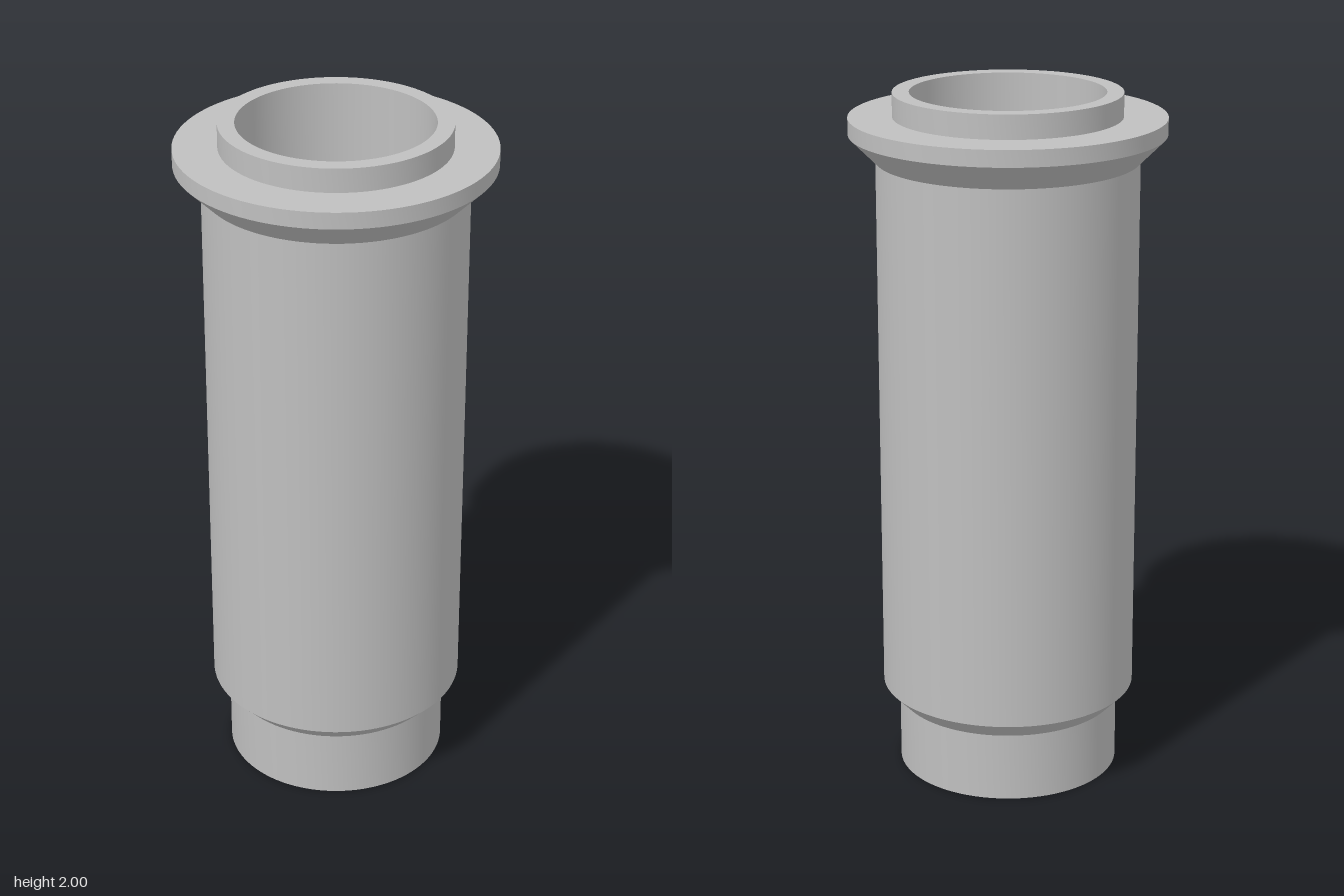
import * as THREE from 'three';
import { toCreasedNormals } from 'three/addons/utils/BufferGeometryUtils.js';

const SEGMENTS = 96;
const BORE = 0.273, NECK = 0.32, BODY = 0.368, RIM = 0.443;

export function createModel() {
  const group = new THREE.Group();
  group.name = 'flangedSleeve';
  const metal = new THREE.MeshStandardMaterial({ color: 0xbfbfbf });
  metal.name = 'grey metal';

  // Revolves a [radius, height] profile, keeping its corners sharp
  const addRing = (name, profile) => {
    const points = profile.map(([r, y]) => new THREE.Vector2(r, y));
    const geometry = toCreasedNormals(new THREE.LatheGeometry(points, SEGMENTS), 0.5);
    const mesh = new THREE.Mesh(geometry, metal);
    mesh.name = name;
    group.add(mesh);
  };

  // Lower neck with its annular end face
  addRing('lowerNeck', [[BORE, 0], [NECK, 0], [NECK, 0.2]]);
  // Main barrel with the chamfer at its foot
  addRing('barrel', [[NECK, 0.2], [BODY, 0.25], [BODY, 1.81]]);
  // Flange: flared underside, thin rim, flat top
  addRing('flange', [[BODY, 1.81], [RIM, 1.885], [RIM, 1.932], [NECK, 1.932]]);
  // Upper neck with its annular end face
  addRing('upperNeck', [[NECK, 1.932], [NECK, 2], [BORE, 2]]);
  // Through bore, facing inward
  addRing('bore', [[BORE, 2], [BORE, 0]]);

  return group;
}
